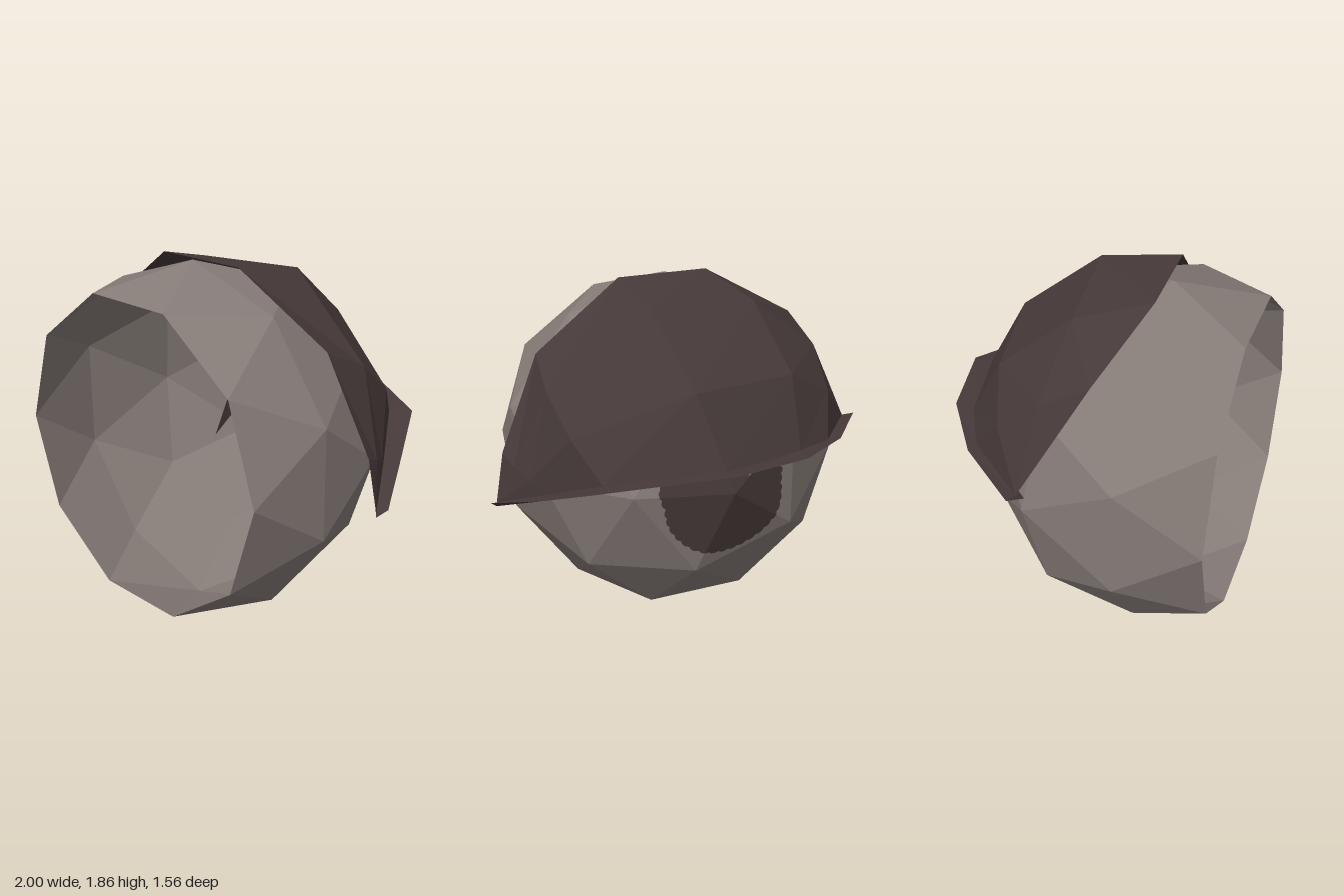
import * as THREE from 'three';

const BALL = new THREE.Vector3(-0.077, 0.93, 0.36);
const V = (x, y, z) => new THREE.Vector3(x, y, z);

// Geometry from a flat list of triangle corners
function facets(corners) {
  const g = new THREE.BufferGeometry().setFromPoints(corners);
  g.computeVertexNormals();
  return g;
}

// Triangles joining two rows with equally many points
function strip(a, b) {
  const out = [];
  for (let i = 0; i < a.length - 1; i++) {
    out.push(a[i], b[i], b[i + 1], a[i], b[i + 1], a[i + 1]);
  }
  return out;
}

// Faceted ball, open at the front: rings from the rim to the rear pole
function ballGeometry() {
  const ring = (n, start, radius, z) => Array.from({ length: n }, (_, k) => {
    const a = THREE.MathUtils.degToRad(start + k * 360 / n);
    return V(Math.cos(a) * radius, Math.sin(a) * radius, z).add(BALL);
  });
  const rim = ring(10, 0, 0.834, 0.42);
  const equator = ring(10, 18, 0.93, 0);
  const even = ring(5, 0, 0.843, -0.418), odd = ring(5, 36, 0.791, -0.489);
  const rear = even.flatMap((p, i) => [p, odd[i]]);
  const inner = ring(5, 0, 0.49, -0.775);
  const pole = V(0, 0, -0.907).add(BALL);
  const t = [];
  for (let k = 0; k < 10; k++) {
    const n = (k + 1) % 10;
    t.push(rim[k], equator[k], rim[n], equator[k], equator[n], rim[n]);
    t.push(equator[k], rear[k], rear[n], equator[k], rear[n], equator[n]);
  }
  for (let j = 0; j < 5; j++) {
    const n = (j + 1) % 5, m = rear[2 * j + 1];
    t.push(rear[(2 * j + 9) % 10], inner[j], rear[2 * j], rear[2 * j], inner[j], m);
    t.push(m, inner[j], inner[n], inner[j], pole, inner[n]);
  }
  return facets(t);
}

// Ragged patch lying on the five rear faces: [angle, radius] outline
const OUTLINE = [[0, 0.365], [8, 0.37], [20, 0.31], [28, 0.315], [48, 0.34], [68, 0.26],
  [85, 0.3], [109, 0.285], [115, 0.24], [125, 0.17], [140, 0.11], [155, 0.19], [163, 0.29],
  [170, 0.32], [185, 0.315], [206, 0.347], [232, 0.365], [267, 0.37], [298, 0.375],
  [325, 0.363], [348, 0.345], [360, 0.365]];

function patchGeometry(offset) {
  const edge = [];
  for (let a = 0; a <= 360; a += 3) {
    const i = Math.max(1, OUTLINE.findIndex(p => p[0] >= a));
    const [a0, r0] = OUTLINE[i - 1], [a1, r1] = OUTLINE[i];
    const r = THREE.MathUtils.mapLinear(a, a0, a1, r0, r1) + 0.006 * Math.sin(a * 0.7);
    const rad = THREE.MathUtils.degToRad(a);
    const fromMid = THREE.MathUtils.degToRad((a % 72) - 36);
    const z = -0.907 + 0.132 * r * Math.cos(fromMid) / 0.396 + offset;
    edge.push(V(Math.cos(rad) * r, Math.sin(rad) * r, z).add(BALL));
  }
  const pole = V(0, 0, -0.907 + offset).add(BALL);
  const t = [];
  for (let i = 0; i < edge.length - 1; i++) t.push(pole, edge[i + 1], edge[i]);
  return facets(t);
}

export function createModel() {
  const group = new THREE.Group();
  const material = (name, color) => new THREE.MeshStandardMaterial({
    name, color, flatShading: true, side: THREE.DoubleSide });
  const stone = material('warmGrey', 0x857b77);
  const brown = material('darkBrown', 0x463939);
  const add = (name, geometry, mat) => {
    const mesh = new THREE.Mesh(geometry, mat);
    mesh.name = name;
    group.add(mesh);
  };

  add('openBall', ballGeometry(), stone);
  add('rearPatchOutside', patchGeometry(-0.004), brown);
  add('rearPatchInside', patchGeometry(0.004), brown);

  // Cap: front edge, lower rear edge and brim edge, from +x round to -x
  const front = [V(0.96, 0.77, 0.16), V(0.91, 1.04, 0.17), V(0.69, 1.53, 0.23), V(0.2, 1.86, 0.32),
    V(-0.31, 1.86, 0.34), V(-0.74, 1.62, 0.18), V(-0.94, 1.08, -0.12)];
  const lower = [V(0.96, 0.77, 0.16), V(0.77, 0.9, -0.13), V(0.57, 1.03, -0.42), V(0.04, 1.12, -0.69),
    V(-0.42, 1.12, -0.58), V(-0.65, 1.1, -0.46), V(-0.94, 1.08, -0.12)];
  const brim = [V(1, 0.79, 0.12), V(0.83, 0.9, -0.19), V(0.66, 1.03, -0.5), V(0.02, 1.13, -0.78),
    V(-0.4, 1.12, -0.69), V(-0.72, 1.1, -0.47), V(-1, 1.09, -0.14)];
  const under = lower.map(p => p.clone().lerp(BALL, 0.05).add(V(0, -0.035, 0)));
  under[0].set(0.96, 0.75, 0.16);

  // Intermediate rows bulge around the cap centre
  const centre = V(-0.03, 0.93, 0.33);
  const rows = [0, 1 / 3, 2 / 3, 1].map(t => front.map((p, i) => {
    const a = p.clone().sub(centre), b = lower[i].clone().sub(centre);
    const radius = THREE.MathUtils.lerp(a.length(), b.length(), t);
    return a.lerp(b, t).setLength(radius).add(centre);
  }));
  add('cap', facets([0, 1, 2].flatMap(i => strip(rows[i + 1], rows[i]))), brown);
  add('brimTop', facets(strip(brim, lower)), brown);
  add('brimUnderside', facets(strip(under, brim)), brown);

  // Thin splinter inside the bowl
  add('splinter', facets([V(-0.03, 0.92, 0.27), V(-0.045, 1.61, -0.1), V(-0.055, 1.25, -0.25)]), brown);

  return group;
}
